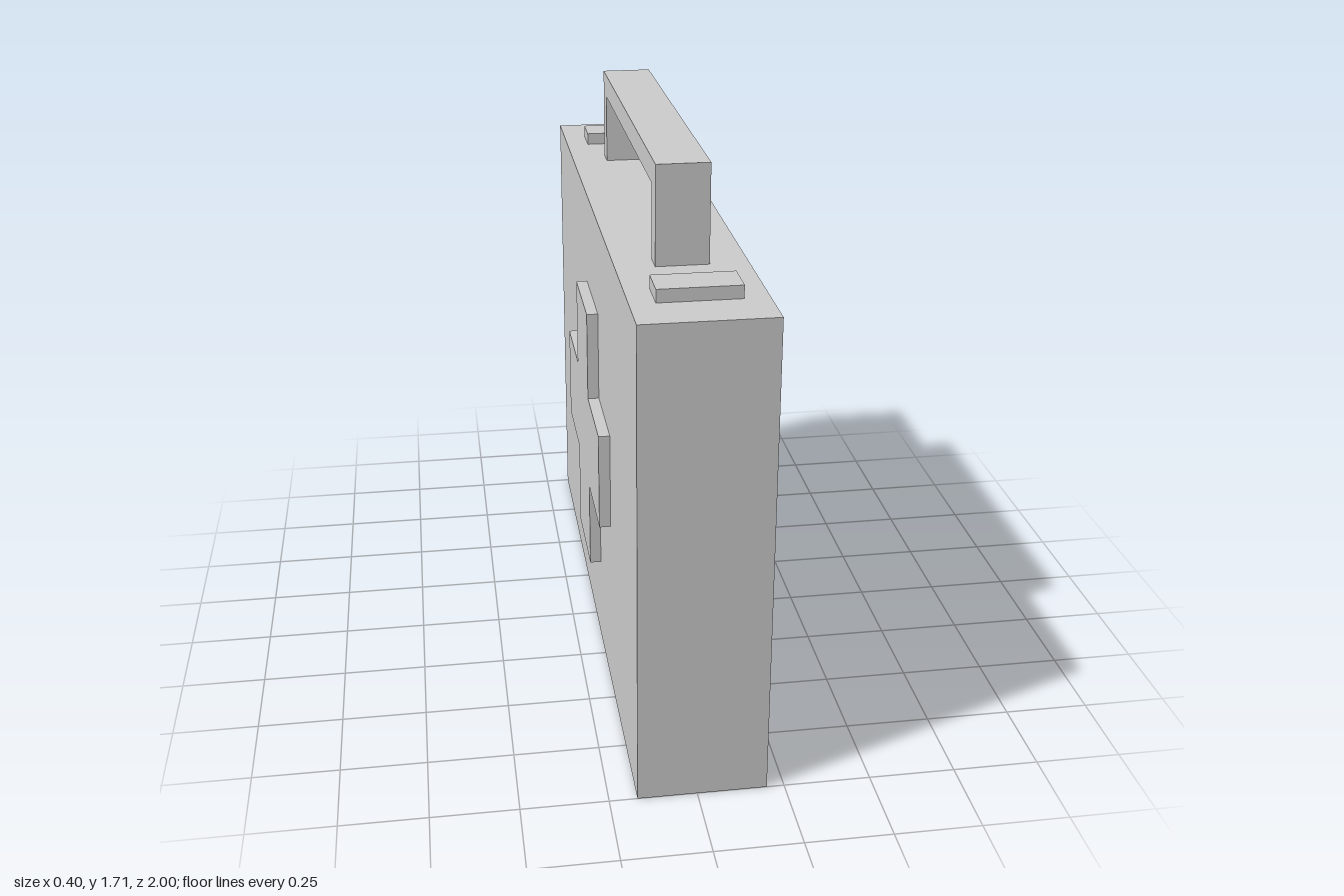
import * as THREE from 'three';

const material = new THREE.MeshStandardMaterial({ color: 0xcccccc, flatShading: true });

function add(group, name, geometry, x, y, z) {
  const mesh = new THREE.Mesh(geometry, material);
  mesh.name = name;
  mesh.position.set(x, y, z);
  group.add(mesh);
}

// Extrudes a (z, y) outline from x = 0 towards -x
function sidePlate(points, depth) {
  const shape = new THREE.Shape(points.map(([z, y]) => new THREE.Vector2(z, y)));
  return new THREE.ExtrudeGeometry(shape, { depth, bevelEnabled: false }).rotateY(-Math.PI / 2);
}

export function createModel() {
  const group = new THREE.Group();
  group.name = 'firstAidCase';
  const top = 1.425;

  // Case
  add(group, 'caseBody', new THREE.BoxGeometry(0.37, top, 2), 0.015, top / 2, 0);

  // Squared carrying handle
  const o = 0.577, i = 0.508, h = 0.285, u = 0.215;
  const handle = sidePlate([[-o, 0], [-i, 0], [-i, u], [i, u], [i, 0], [o, 0], [o, h], [-o, h]], 0.15);
  add(group, 'handle', handle, 0.09, top, 0);

  // Latches on the top
  for (const [name, z] of [['frontLatch', 0.799], ['backLatch', -0.781]]) {
    add(group, name, new THREE.BoxGeometry(0.23, 0.037, 0.112), 0.015, top + 0.0185, z);
  }

  // Raised cross on the right side
  const a = 0.427, b = 0.15;
  const cross = sidePlate([
    [-b, -a], [b, -a], [b, -b], [a, -b], [a, b], [b, b],
    [b, a], [-b, a], [-b, b], [-a, b], [-a, -b], [-b, -b],
  ], 0.034);
  add(group, 'cross', cross, -0.17, 0.705, -0.003);

  return group;
}
